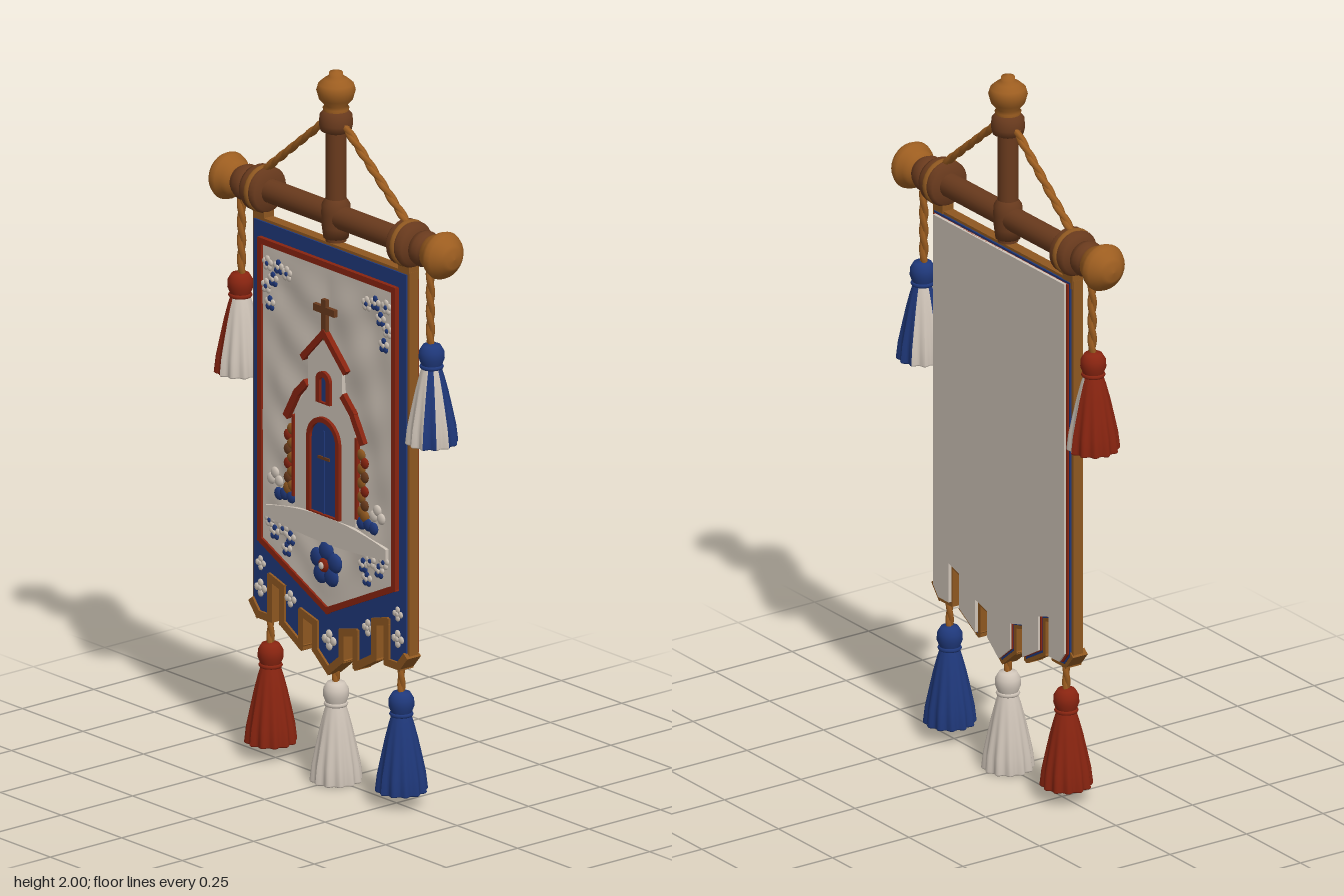
import * as THREE from 'three';

const mat = (name, color) => new THREE.MeshStandardMaterial({ name, color });
const wood = mat('dark wood', 0x693a1d), gold = mat('golden wood', 0x9c5d20), trim = mat('gold braid', 0x8e5720);
const blue = mat('blue', 0x1f387a), red = mat('red', 0x882410), cream = mat('cream', 0xcec3b7);

const V2 = pts => pts.map(([x, y]) => new THREE.Vector2(x, y));

export function createModel() {
  const root = new THREE.Group();
  const add = (name, geo, m, x = 0, y = 0, z = 0, parent = root) => {
    const mesh = new THREE.Mesh(geo, m);
    mesh.name = name;
    mesh.position.set(x, y, z);
    parent.add(mesh);
    return mesh;
  };
  const group = (name, x = 0, y = 0, z = 0) => {
    const g = new THREE.Group();
    g.name = name;
    g.position.set(x, y, z);
    root.add(g);
    return g;
  };
  const lathe = pts => new THREE.LatheGeometry(V2(pts), 28);
  const plate = (pts, depth) => new THREE.ExtrudeGeometry(new THREE.Shape(V2(pts)), { depth, bevelEnabled: false });

  // run of flat bars following a line of points
  const strip = (name, pts, w, d, z, m) => {
    const g = group(name);
    for (let i = 0; i < pts.length - 1; i++) {
      const [ax, ay] = pts[i], [bx, by] = pts[i + 1];
      const bar = add(name + 'Bar', new THREE.BoxGeometry(Math.hypot(bx - ax, by - ay) + w * 0.8, w, d), m,
        (ax + bx) / 2, (ay + by) / 2, z, g);
      bar.rotation.z = Math.atan2(by - ay, bx - ax);
    }
  };

  // two closely twisted strands between two points
  const rope = (name, a, b, r) => {
    const A = new THREE.Vector3(...a), B = new THREE.Vector3(...b), len = A.distanceTo(B);
    const g = group(name);
    for (const phase of [0, Math.PI]) {
      const pts = [], n = Math.ceil(len * 120);
      for (let i = 0; i <= n; i++) {
        const t = i / n, q = phase + t * len * 60;
        pts.push(new THREE.Vector3(r * 0.4 * Math.cos(q), t * len, r * 0.4 * Math.sin(q)));
      }
      add('strand', new THREE.TubeGeometry(new THREE.CatmullRomCurve3(pts), n * 2, r, 6), gold, 0, 0, 0, g);
    }
    g.position.copy(A);
    g.quaternion.setFromUnitVectors(new THREE.Vector3(0, 1, 0), B.sub(A).normalize());
  };

  // ---- wooden frame ----
  const bar = add('crossbar', new THREE.CylinderGeometry(0.033, 0.033, 0.78, 20), wood, 0, 1.59, 0);
  bar.rotation.z = Math.PI / 2;
  add('upright', new THREE.CylinderGeometry(0.028, 0.028, 0.36, 20), wood, 0, 1.7, 0);
  add('uprightSleeve', lathe([[0, 1.525], [0.034, 1.53], [0.038, 1.56], [0.04, 1.6], [0.038, 1.625], [0.028, 1.64]]), wood);
  add('uprightCollar', lathe([[0.028, 1.825], [0.042, 1.832], [0.046, 1.85], [0.044, 1.875], [0.032, 1.89], [0, 1.89]]), wood);
  add('topFinial', lathe([[0.03, 1.87], [0.036, 1.895], [0.03, 1.902], [0.046, 1.92], [0.053, 1.945], [0.048, 1.962],
    [0.032, 1.976], [0.02, 1.983], [0.018, 1.995], [0, 2]]), gold);
  const sides = [[1, 'left'], [-1, 'right']];
  for (const [s, side] of sides) {
    const end = group(side + 'BarEnd', 0, 1.59, 0);
    end.rotation.z = -s * Math.PI / 2;
    add('hangerCollar', lathe([[0.033, 0.268], [0.056, 0.272], [0.064, 0.282], [0.06, 0.292], [0.06, 0.31], [0.064, 0.32],
      [0.056, 0.335], [0.033, 0.34]]), wood, 0, 0, 0, end);
    add('neckRing', lathe([[0.033, 0.345], [0.046, 0.352], [0.05, 0.37], [0.044, 0.385], [0.038, 0.395], [0.04, 0.41]]), wood, 0, 0, 0, end);
    add('endFinial', lathe([[0.034, 0.392], [0.048, 0.4], [0.052, 0.415], [0.062, 0.43], [0.066, 0.443], [0.06, 0.456],
      [0.047, 0.47], [0.036, 0.48], [0.026, 0.487], [0, 0.491]]), gold, 0, 0, 0, end);
    rope(side + 'SuspensionCord', [s * 0.3, 1.64, 0], [s * 0.025, 1.86, 0], 0.009);
    const loop = add(side + 'CordLoop', new THREE.TorusGeometry(0.056, 0.01, 8, 24), trim, s * 0.301, 1.59, 0);
    loop.rotation.y = Math.PI / 2;
    add(side + 'HangerTab', new THREE.BoxGeometry(0.045, 0.07, 0.035), trim, s * 0.3, 1.525, 0);
    rope(side + 'TasselCord', [s * 0.39, 1.33, 0], [s * 0.39, 1.56, 0], 0.009);
  }

  // ---- tassels: round head over a fluted skirt, the skirt in one or more coloured sectors ----
  const skirt = [[0, 0.015], [0.045, 0.008], [0.064, 0], [0.067, 0.004], [0.063, 0.05], [0.054, 0.1], [0.044, 0.15], [0.034, 0.19],
    [0.026, 0.215]];
  const head = [[0.026, 0.212], [0.028, 0.222], [0.035, 0.24], [0.034, 0.26], [0.024, 0.277], [0, 0.282]];
  const tassel = (name, x, y, headMat, sectors, start) => {
    const g = group(name, x, y, 0);
    const span = Math.PI * 2 / sectors.length;
    sectors.forEach((m, k) => {
      const geo = new THREE.LatheGeometry(V2(skirt), 72 / sectors.length, start + k * span, span);
      const p = geo.attributes.position;
      for (let i = 0; i < p.count; i++) {
        const fade = Math.max(0, 1 - p.getY(i) / 0.2);
        const f = 1 + 0.08 * fade * Math.cos(12 * Math.atan2(p.getX(i), p.getZ(i)));
        p.setXYZ(i, p.getX(i) * f, p.getY(i), p.getZ(i) * f);
      }
      geo.computeVertexNormals();
      add('skirt', geo, m, 0, 0, 0, g);
    });
    add('head', lathe(head), headMat, 0, 0, 0, g);
    const band = add('neckBand', new THREE.TorusGeometry(0.027, 0.006, 6, 20), headMat, 0, 0.217, 0, g);
    band.rotation.x = Math.PI / 2;
  };
  const striped = [...'BWWBWWWBWBBB'].map(c => (c === 'B' ? blue : cream));
  tassel('leftBarTassel', 0.395, 1.05, blue, striped, -Math.PI);
  tassel('rightBarTassel', -0.395, 1.05, red, [cream, red], 0);
  [[-0.27, 0.04, red, 0.39], [0, 0, cream, 0.31], [0.27, 0.04, blue, 0.39]].forEach(([x, y, m, top]) => {
    tassel('hemTassel', x, y, m, [m], 0);
    rope('hemTasselCord', [x, y + 0.26, 0], [x, top + 0.01, 0], 0.008);
  });

  // ---- banner cloth with notched hem ----
  const half = [[0, 0.315], [0.055, 0.36], [0.055, 0.435], [0.112, 0.45], [0.112, 0.355], [0.19, 0.4], [0.19, 0.5],
    [0.24, 0.515], [0.24, 0.4], [0.29, 0.4], [0.315, 0.43], [0.315, 1.507]];
  const mirror = pts => pts.map(([x, y]) => [-x, y]).reverse();
  const outline = [...half, ...mirror(half.slice(1))];
  const inset = (kx, ky) => outline.map(([x, y]) => [x * kx, 0.96 + (y - 0.96) * ky]);
  add('bannerBorder', plate(outline, 0.042), blue, 0, 0, -0.02);
  strip('hemBraid', [...mirror(half.slice(1, -1)), ...half.slice(0, -1)], 0.021, 0.048, 0.005, trim);
  strip('sideBraid', [[-0.317, 0.43], [-0.317, 1.508], [0.317, 1.508], [0.317, 0.43]], 0.013, 0.032, 0.001, trim);
  add('redLining', plate(inset(0.99, 0.99), 0.006), red, 0, 0, -0.0255);
  add('bannerBack', plate(inset(0.965, 0.99), 0.009), cream, 0, 0, -0.031);

  // cream field: a grid pulled to a point below and softly rippled
  const field = new THREE.PlaneGeometry(0.55, 1, 40, 60);
  const fp = field.attributes.position;
  for (let i = 0; i < fp.count; i++) {
    const x = fp.getX(i), t = fp.getY(i) + 0.5, low = 0.49 + Math.abs(x) * 0.47;
    const edge = Math.min(1, (0.275 - Math.abs(x)) * 12) * Math.min(1, t * 8, (1 - t) * 8);
    const fold = Math.sin(Math.abs(x) * 34 + t * 13) + Math.sin(t * 31 - Math.abs(x) * 18);
    fp.setXYZ(i, x, low + t * (1.455 - low), 0.0285 + 0.0028 * edge * fold);
  }
  field.computeVertexNormals();
  add('centreField', field, cream);
  const frameHalf = [[0, 0.485], [0.277, 0.617], [0.277, 1.457]];
  const frame = [...frameHalf, ...mirror(frameHalf.slice(1))];
  strip('redFrame', [...frame, frame[0]], 0.017, 0.02, 0.025, red);

  // ---- chapel relief ----
  const wall = [[0.125, 0.75], [0.125, 1.02], [0.07, 1.1], [0.07, 1.2], [0, 1.26]];
  add('chapelWall', plate([...wall, ...mirror(wall.slice(0, 4))], 0.014), cream, 0, 0, 0.024);
  strip('towerRoof', [[-0.085, 1.182], [0, 1.268], [0.085, 1.182]], 0.018, 0.016, 0.038, red);
  strip('crossUpright', [[0, 1.255], [0, 1.355]], 0.018, 0.012, 0.038, wood);
  strip('crossArm', [[-0.036, 1.332], [0.036, 1.332]], 0.02, 0.012, 0.038, wood);
  const arch = (w, y0, y1) => {
    const s = new THREE.Shape();
    s.moveTo(-w, y0);
    s.lineTo(w, y0);
    s.lineTo(w, y1 - w);
    s.absarc(0, y1 - w, w, 0, Math.PI, false);
    s.lineTo(-w, y0);
    return s;
  };
  const archPair = (name, w, y0, y1, rim) => {
    const outer = arch(w, y0, y1);
    outer.holes.push(arch(w - rim, y0 + 0.004, y1 - rim));
    add(name + 'Frame', new THREE.ExtrudeGeometry(outer, { depth: 0.012, bevelEnabled: false, curveSegments: 16 }), red, 0, 0, 0.036);
    add(name + 'Panel', new THREE.ShapeGeometry(arch(w - rim * 0.8, y0, y1 - rim * 0.8), 16), blue, 0, 0, 0.04);
  };
  archPair('door', 0.067, 0.755, 1.03, 0.014);
  archPair('window', 0.029, 1.07, 1.16, 0.016);
  strip('doorSeam', [[0, 0.76], [0, 0.99]], 0.005, 0.004, 0.042, blue);
  strip('doorHandle', [[-0.02, 0.915], [0.02, 0.915]], 0.008, 0.005, 0.042, wood);
  const bead = (name, x, y, r, m, z = 0.034) => {
    add(name, new THREE.SphereGeometry(r, 10, 8), m, x, y, z).scale.z = 0.45;
  };
  for (const [s, side] of sides) {
    strip(side + 'AisleRoof', [[s * 0.08, 1.105], [s * 0.115, 1.07], [s * 0.155, 1.0]], 0.02, 0.014, 0.038, red);
    strip(side + 'AisleEdge', [[s * 0.13, 1.0], [s * 0.13, 0.78]], 0.01, 0.012, 0.036, red);
    for (let i = 0; i < 9; i++) bead(side + 'Vine', s * (0.144 + 0.014 * (i % 2)), 0.8 + i * 0.02, 0.016, [trim, wood, trim, red][i % 4]);
    [[0.145, 0.768], [0.172, 0.77], [0.195, 0.765], [0.158, 0.79]].forEach(([x, y], i) =>
      bead(side + 'Bush', s * x, y, 0.018, i === 3 ? trim : blue));
    for (let i = 0; i < 3; i++) bead(side + 'PaleBush', s * (0.195 + i * 0.016), 0.8 + 0.02 * (i % 2), 0.016, cream);
  }
  // sagging ground below the chapel
  const ground = new THREE.Shape(V2([[-0.25, 0.72], [-0.25, 0.69]]));
  ground.quadraticCurveTo(0, 0.66, 0.25, 0.69);
  ground.lineTo(0.25, 0.72);
  ground.quadraticCurveTo(0, 0.78, -0.25, 0.72);
  add('ground', new THREE.ExtrudeGeometry(ground, { depth: 0.014, bevelEnabled: false }), cream, 0, 0, 0.024);

  // ---- flowers: petals alternate through the given colours ----
  const flower = (name, x, y, r, petals, heart, z) => {
    petals.forEach((m, i) => {
      const a = Math.PI / 2 + i * 2 * Math.PI / petals.length;
      bead(name + 'Petal', x + Math.cos(a) * r * 0.6, y + Math.sin(a) * r * 0.6, r * 0.45, m, z);
    });
    bead(name + 'Heart', x, y, r * 0.32, heart, z + r * 0.15);
  };
  flower('largeFlower', 0, 0.615, 0.062, Array(5).fill(blue), red, 0.034);
  bead('largeFlowerButton', 0, 0.615, 0.01, cream, 0.052);
  const sprays = [[0.235, 1.29], [0.25, 1.335], [0.222, 1.36], [0.245, 1.4], [0.2, 1.4], [0.165, 1.39],
    [0.15, 0.65], [0.18, 0.67], [0.215, 0.65], [0.235, 0.68], [0.165, 0.615]];
  for (const [s] of sides) sprays.forEach(([x, y], i) => {
    const petals = i % 2 ? Array(5).fill(cream) : [blue, cream, blue, blue, cream];
    flower('sprayFlower', s * x, y, 0.021, petals, i % 2 ? blue : cream, 0.032);
  });
  for (const [x, y, r] of [[0, 0.4, 0.028], [0.16, 0.475, 0.023], [0.283, 0.545, 0.02], [0.283, 0.475, 0.024]])
    for (const s of x ? [1, -1] : [1]) flower('borderRosette', s * x, y, r, Array(4).fill(cream), cream, 0.024);

  return root;
}
